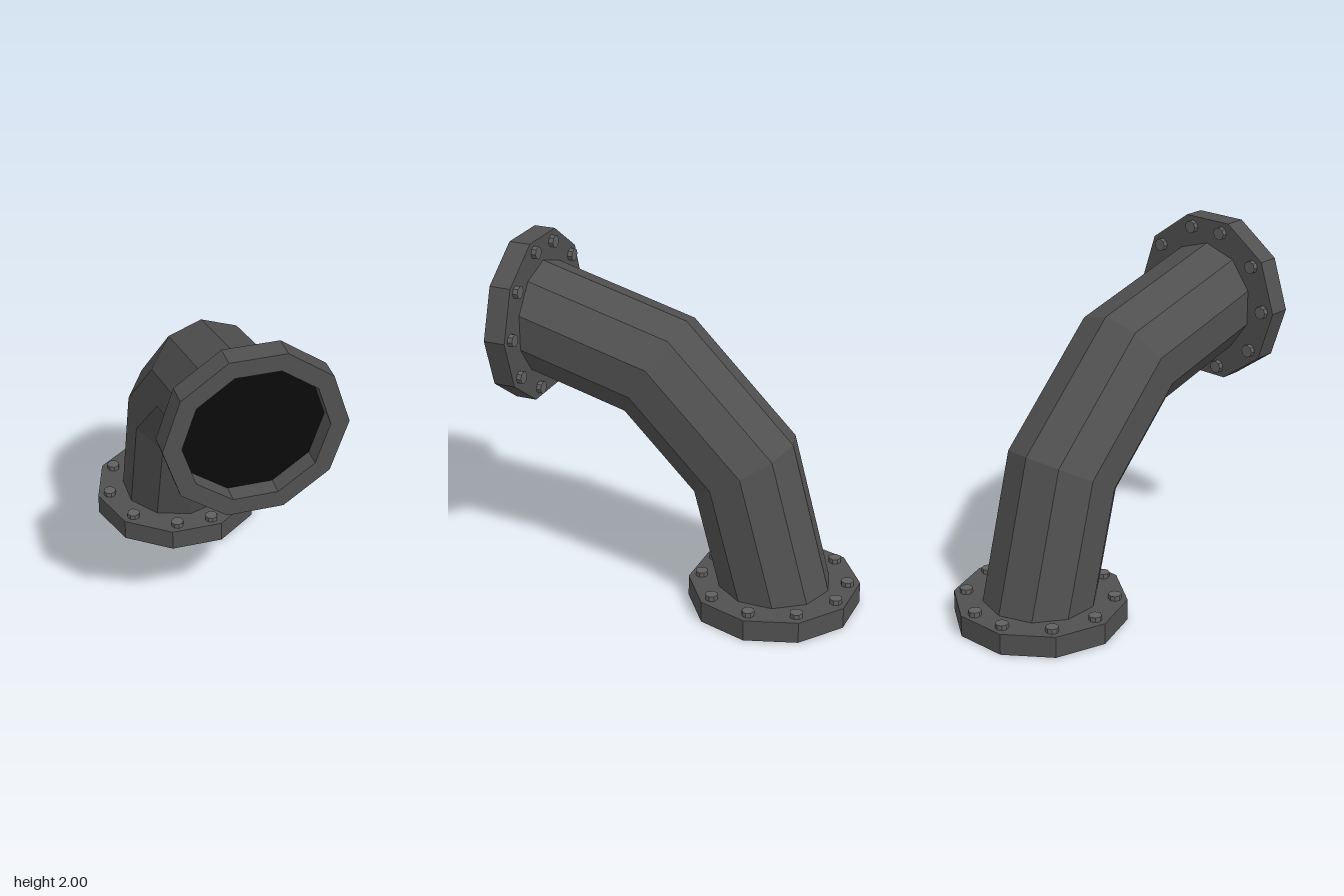
import * as THREE from 'three';

const steel = new THREE.MeshStandardMaterial({ color: 0x505050, flatShading: true });
const boltSteel = new THREE.MeshStandardMaterial({ color: 0x606060, flatShading: true });
const dark = new THREE.MeshStandardMaterial({ color: 0x0a0a0a });

const SIDES = 10;
const BEND = 1.41;        // radius of the pipe's centre line
const THICK = 0.125;      // flange thickness
const RECESS = 0.1;       // depth of the opening

function part(parent, name, geometry, material) {
  const mesh = new THREE.Mesh(geometry, material);
  mesh.name = name;
  parent.add(mesh);
  return mesh;
}

// Ten-sided flange; its mouth opens along local +y, bolts stand on the pipe side
function createFlange(name) {
  const flange = new THREE.Group();
  flange.name = name;

  const profile = [
    [0.3, 0], [0.49, 0], [0.49, THICK], [0.39, THICK], [0.39, THICK - RECESS],
  ].map(([r, y]) => new THREE.Vector2(r, y));
  part(flange, 'flangeRing', new THREE.LatheGeometry(profile, SIDES, Math.PI / 2), steel);

  const opening = part(flange, 'opening', new THREE.CircleGeometry(0.39, SIDES), dark);
  opening.rotation.x = -Math.PI / 2;
  opening.position.y = THICK - RECESS;

  // Ring of ten bolt heads
  const boltGeometry = new THREE.CylinderGeometry(0.037, 0.037, 0.03, 8);
  const quarter = [0, 37, 75.4];
  const angles = [...quarter, 104.6, 143, 180, 217, 255.4, 284.6, 323];
  for (const degrees of angles) {
    const a = THREE.MathUtils.degToRad(degrees);
    const bolt = part(flange, 'bolt', boltGeometry, boltSteel);
    bolt.position.set(0.418 * Math.cos(a), -0.013, 0.418 * Math.sin(a));
  }
  return flange;
}

export function createModel() {
  const model = new THREE.Group();
  model.name = 'pipeElbow';

  // Quarter bend in three straight steps
  const pipe = part(model, 'pipe', new THREE.TorusGeometry(BEND, 0.325, SIDES, 3, Math.PI / 2), steel);
  pipe.rotation.y = Math.PI / 2;
  pipe.position.set(0, THICK, 1 - THICK);

  // Front flange faces +z, base flange faces the ground
  const front = createFlange('frontFlange');
  front.rotation.x = Math.PI / 2;
  front.position.set(0, THICK + BEND, 1 - THICK);

  const base = createFlange('baseFlange');
  base.rotation.x = Math.PI;
  base.position.set(0, THICK, 1 - THICK - BEND);

  model.add(front, base);
  return model;
}
